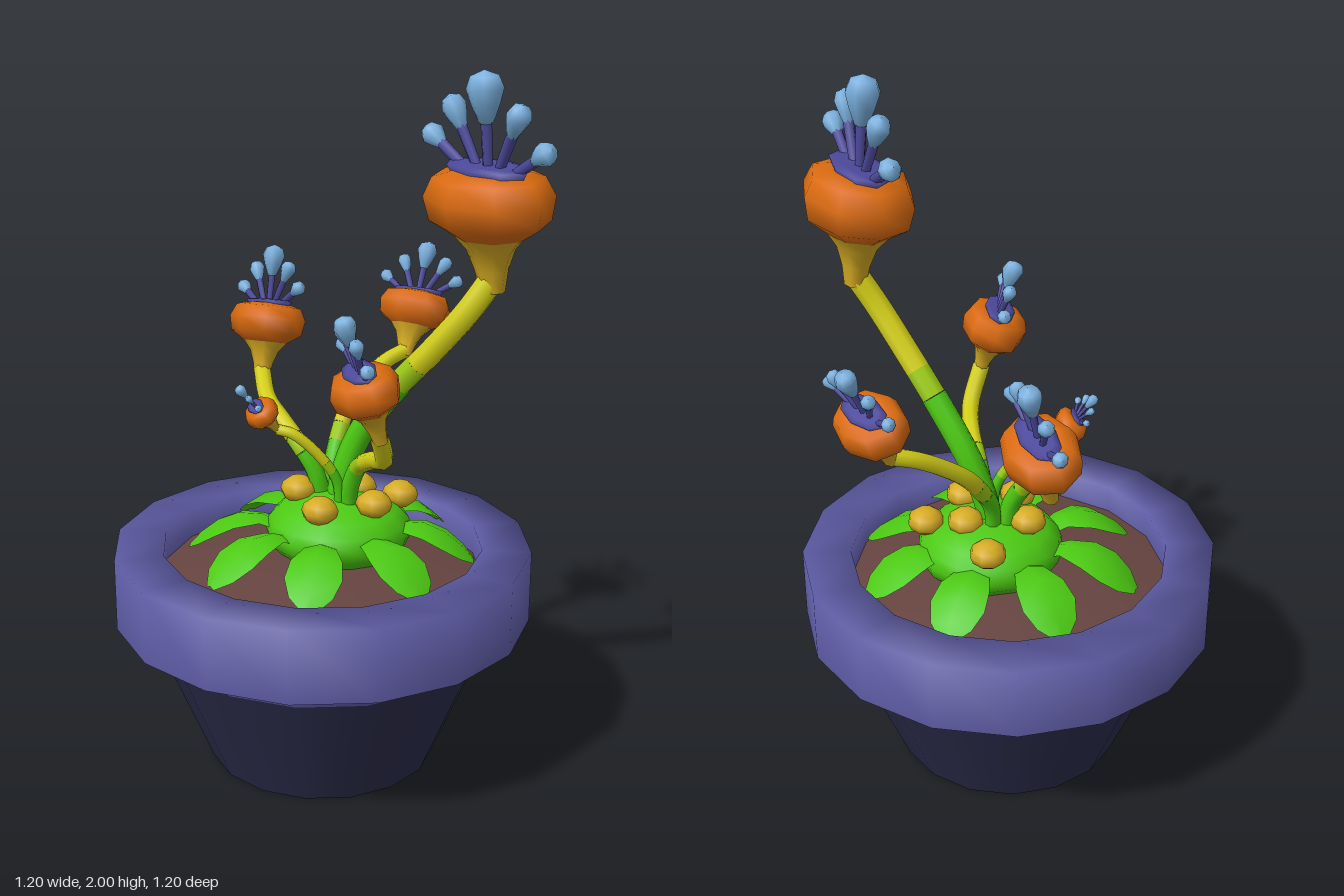
import * as THREE from 'three';

const mat = (name, color, side = THREE.FrontSide) => {
  const m = new THREE.MeshStandardMaterial({ color, side });
  m.name = name;
  return m;
};
const M = {
  pot: mat('dark navy', 0x2b2c4a),
  rim: mat('violet blue', 0x5c5aa2),
  soil: mat('brown soil', 0x664440),
  green: mat('leaf green', 0x4cc912, THREE.DoubleSide),
  lime: mat('lime', 0x9ccb14),
  yellow: mat('stem yellow', 0xd3cf18),
  gold: mat('gold', 0xd6ab22),
  orange: mat('orange', 0xd96a10),
  purple: mat('purple', 0x4d4a9c),
  blue: mat('light blue', 0x7ab0de),
};

function add(parent, name, geo, material, pos = [0, 0, 0]) {
  const mesh = new THREE.Mesh(geo, material);
  mesh.name = name;
  mesh.position.set(...pos);
  parent.add(mesh);
  return mesh;
}
const lathe = (pts, sides) =>
  new THREE.LatheGeometry(pts.map(([x, y]) => new THREE.Vector2(x, y)), sides);

// Drooping leaf pointing to -z: narrow root, broad middle, blunt tip
function leafGeometry() {
  const rows = [ // distance, height, half width
    [0.12, 0.68, 0.03], [0.2, 0.715, 0.045], [0.27, 0.715, 0.072],
    [0.33, 0.69, 0.08], [0.38, 0.65, 0.06], [0.415, 0.61, 0.018],
  ];
  const geo = new THREE.PlaneGeometry(2, 1, 2, rows.length - 1);
  const p = geo.attributes.position;
  for (let i = 0; i < p.count; i++) {
    const [d, h, w] = rows[Math.round((p.getY(i) + 0.5) * (rows.length - 1))];
    const u = p.getX(i);
    p.setXYZ(i, u * w, h - Math.abs(u) * w * 0.3, -d);
  }
  geo.computeVertexNormals();
  return geo;
}

// Tentacles of one flower: [angle, length, bulb length, bulb radius]
const TENTACLES = [
  [0, 0.3, 0.15, 0.05], [0.5, 0.255, 0.11, 0.034], [-0.5, 0.255, 0.11, 0.034],
  [1.03, 0.24, 0.085, 0.033], [-1.03, 0.24, 0.085, 0.033],
];

// Flower head with its centre at the origin, opening to +y
function flowerHead() {
  const head = new THREE.Group();
  head.name = 'flowerHead';
  const cup = new THREE.Group();
  cup.name = 'flowerCup';
  cup.scale.z = 0.77;
  head.add(cup);
  add(cup, 'trumpet', lathe([[0.04, -0.23], [0.052, -0.17], [0.075, -0.115], [0.118, -0.07]], 8), M.gold);
  add(cup, 'orangeCollar', lathe([[0.115, -0.075], [0.185, -0.035], [0.2, 0.03], [0.17, 0.083], [0.11, 0.097], [0, 0.097]], 8), M.orange);
  const plate = add(cup, 'purpleMouth', lathe([[0.13, 0.085], [0.148, 0.11], [0.1, 0.115], [0, 0.112]], 8), M.purple);
  plate.scale.z = 0.64;
  for (const [angle, len, bulbLen, r] of TENTACLES) {
    const arm = new THREE.Group();
    arm.name = 'tentacle';
    arm.position.set(Math.sin(angle) * 0.04, 0.06, 0);
    arm.rotation.z = -angle;
    head.add(arm);
    const stalk = len - bulbLen + 0.02;
    add(arm, 'stalk', new THREE.CylinderGeometry(0.016, 0.013, stalk, 6), M.purple, [0, stalk / 2, 0]);
    const tear = [[0, 0], [0.4, 0.1], [0.75, 0.4], [1, 0.68], [0.75, 0.9], [0, 1]];
    add(arm, 'tentacleBulb', lathe(tear.map(([x, y]) => [x * r, y * bulbLen]), 8), M.blue, [0, len - bulbLen, 0]);
  }
  return head;
}

// Head centre, scale, [lean, yaw, roll], green share of the stem, stem points
const FLOWERS = [
  { name: 'tallFlower', at: [0.34, 1.64, -0.295], s: 1, rot: [0.09, 0, 0], green: 0.52,
    stem: [[0, 0.72, -0.06], [0, 0.82, -0.07], [0.03, 0.96, -0.11], [0.12, 1.11, -0.165], [0.22, 1.235, -0.215], [0.3, 1.35, -0.265]] },
  { name: 'rightFlower', at: [0.325, 1.195, 0.1], s: 0.62, rot: [0.3, -0.42, 0], green: 0.32,
    stem: [[0.06, 0.74, -0.05], [0.07, 0.82, -0.045], [0.11, 0.9, -0.045], [0.19, 0.945, -0.03], [0.29, 0.985, 0.01]] },
  { name: 'leftFlower', at: [-0.405, 1.19, -0.095], s: 0.67, rot: [-0.25, -0.05, 0.18], green: 0.32,
    stem: [[-0.05, 0.74, -0.04], [-0.06, 0.84, -0.02], [-0.1, 0.915, 0.005], [-0.18, 0.97, 0.01], [-0.28, 1.005, -0.01]] },
  { name: 'backFlower', at: [-0.15, 1.23, -0.455], s: 0.6, rot: [-0.45, 0.22, 0.08], green: 0.32,
    stem: [[-0.04, 0.74, -0.07], [-0.06, 0.84, -0.08], [-0.09, 0.92, -0.125], [-0.115, 0.99, -0.18], [-0.13, 1.06, -0.27], [-0.135, 1.1, -0.34]] },
  { name: 'smallFlower', at: [-0.06, 1.05, 0.16], s: 0.32, rot: [0.7, -0.3, 0], green: 0.4,
    stem: [[0.045, 0.74, -0.03], [0.045, 0.84, -0.02], [0.025, 0.92, 0.025], [-0.015, 0.99, 0.09]] },
];

function flower({ name, at, s, rot, green, stem }) {
  const g = new THREE.Group();
  g.name = name;
  const head = flowerHead();
  head.position.set(...at);
  head.scale.setScalar(s);
  head.rotation.set(...rot, 'YXZ');
  head.updateMatrix();
  g.add(head);
  // Stem runs into the narrow end of the trumpet, changing colour on the way
  const pts = stem.map((p) => new THREE.Vector3(...p));
  pts.push(new THREE.Vector3(0, -0.2, 0).applyMatrix4(head.matrix));
  const all = new THREE.CatmullRomCurve3(pts).getSpacedPoints(40);
  const a = Math.round(green * 40), b = a + 4;
  const parts = [['lowerStem', 0, a, M.green], ['middleStem', a, b, M.lime], ['upperStem', b, 40, M.yellow]];
  for (const [part, from, to, material] of parts) {
    const curve = new THREE.CatmullRomCurve3(all.slice(from, to + 1));
    add(g, part, new THREE.TubeGeometry(curve, to - from, 0.006 + s * 0.031, 8), material);
  }
  return g;
}

export function createModel() {
  const model = new THREE.Group();
  model.name = 'pottedPlant';

  // Pot
  add(model, 'potBody', lathe([[0, 0], [0.33, 0], [0.33, 0], [0.483, 0.37]], 16), M.pot);
  add(model, 'potBand', lathe([[0.483, 0.37], [0.515, 0.445]], 16), M.rim);
  add(model, 'potRim', lathe([[0.5, 0.44], [0.6, 0.44], [0.6, 0.44], [0.6, 0.65], [0.46, 0.65], [0.46, 0.54]], 16), M.rim);
  add(model, 'soil', lathe([[0.462, 0.565], [0.3, 0.6], [0.15, 0.62], [0, 0.63]], 16), M.soil);

  // Rosette of leaves around the crown
  const leafGeo = leafGeometry();
  for (let i = 0; i < 8; i++) {
    add(model, 'leaf', leafGeo, M.green, [0, 0, -0.03]).rotation.y = (i * Math.PI) / 4;
  }
  const crown = add(model, 'crown', new THREE.SphereGeometry(1, 14, 10), M.green, [0, 0.68, -0.06]);
  crown.scale.set(0.212, 0.11, 0.212);

  // Golden buds on the crown
  const budGeo = new THREE.SphereGeometry(0.053, 8, 6);
  for (const [x, y, z] of [[0.07, 0.765, -0.23], [-0.165, 0.765, -0.14], [-0.01, 0.785, -0.14],
    [0.13, 0.785, -0.085], [-0.087, 0.79, 0.02], [0.07, 0.78, 0.06]]) {
    add(model, 'bud', budGeo, M.gold, [x, y, z]).scale.y = 0.75;
  }

  for (const f of FLOWERS) model.add(flower(f));
  return model;
}
